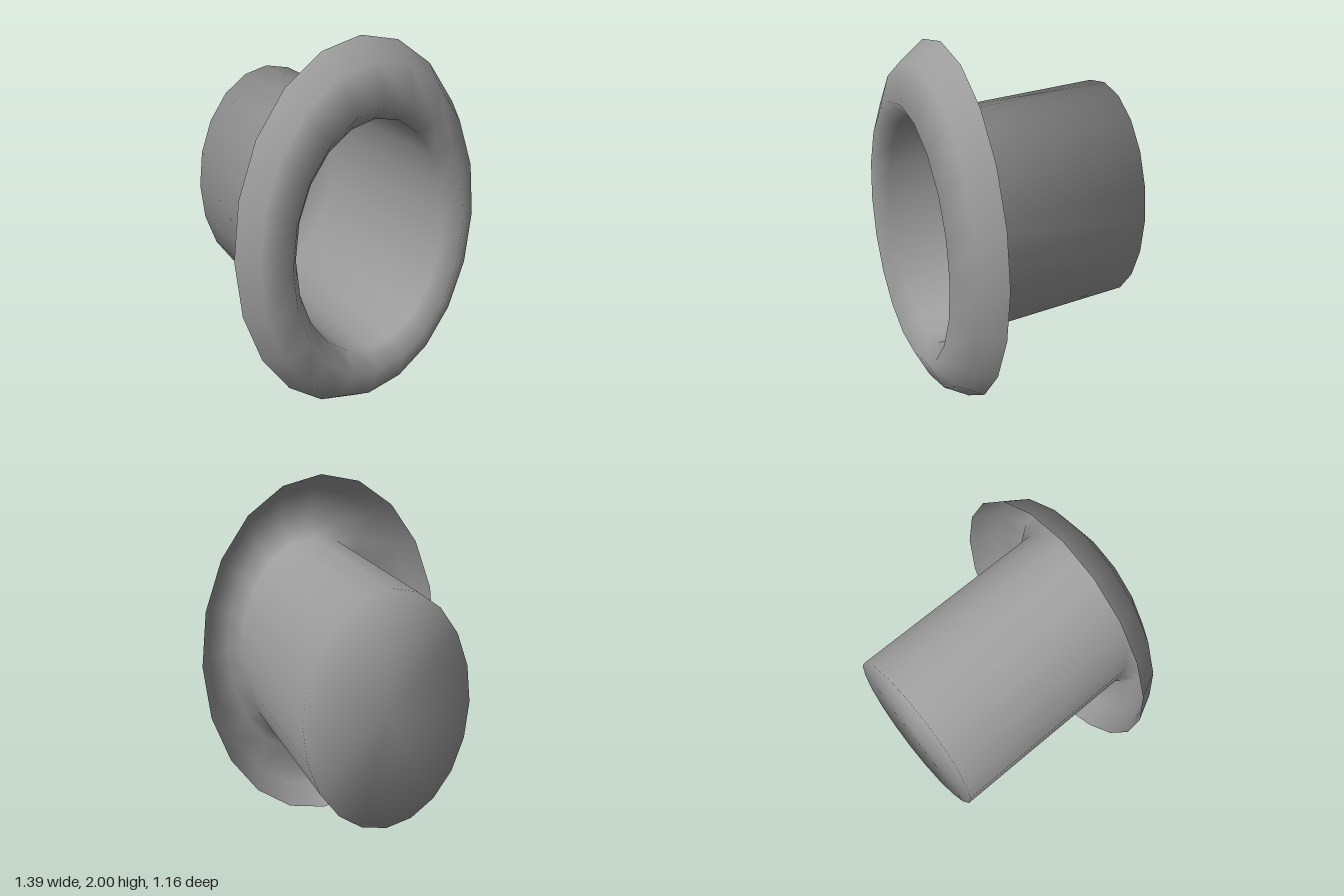
import * as THREE from 'three';

const SIDES = 20;
const WIDTH = 0.695; // oval: width relative to height

// Thin sheet: closed back, tube, then the rolled rim with its hollow behind
const PROFILE = [ // [radius, z]
  [0, -0.58],
  [0.63, -0.58],
  [0.63, 0.495],
  [0.72, 0.58],
  [0.905, 0.495],
  [1.0, 0.36],
].map(([r, z]) => new THREE.Vector2(r, z));

// Smooth normal of a profile point: the mean of its neighbouring segments
function profileNormal(profile, j) {
  const normal = new THREE.Vector2();
  for (const k of [j - 1, j]) {
    if (k < 0 || k > profile.length - 2) continue;
    const d = profile[k + 1].clone().sub(profile[k]).normalize();
    normal.add(new THREE.Vector2(d.y, -d.x));
  }
  return normal.normalize();
}

function ovalSheet(profile) {
  const positions = [], normals = [], index = [];
  profile.forEach((p, j) => {
    const n = profileNormal(profile, j);
    for (let i = 0; i < SIDES; i++) {
      const a = (i / SIDES) * Math.PI * 2;
      const s = Math.sin(a), c = Math.cos(a);
      positions.push(WIDTH * p.x * s, 1 + p.x * c, p.y);
      normals.push(...new THREE.Vector3(n.x * s / WIDTH, n.x * c, n.y).normalize());
    }
  });
  // faces between neighbouring rings; the first ring is the centre of the back
  for (let j = 0; j < profile.length - 1; j++) {
    for (let i = 0; i < SIDES; i++) {
      const a = j * SIDES + i, b = j * SIDES + (i + 1) % SIDES;
      if (j > 0) index.push(a, a + SIDES, b);
      index.push(b, a + SIDES, b + SIDES);
    }
  }
  const geometry = new THREE.BufferGeometry();
  geometry.setAttribute('position', new THREE.Float32BufferAttribute(positions, 3));
  geometry.setAttribute('normal', new THREE.Float32BufferAttribute(normals, 3));
  geometry.setIndex(index);
  return geometry;
}

export function createModel() {
  const group = new THREE.Group();
  group.name = 'flangedOvalTube';
  const material = new THREE.MeshStandardMaterial({ color: 0x9c9c9c, side: THREE.DoubleSide });
  const body = new THREE.Mesh(ovalSheet(PROFILE), material);
  body.name = 'tubeAndRim';
  group.add(body);
  return group;
}
